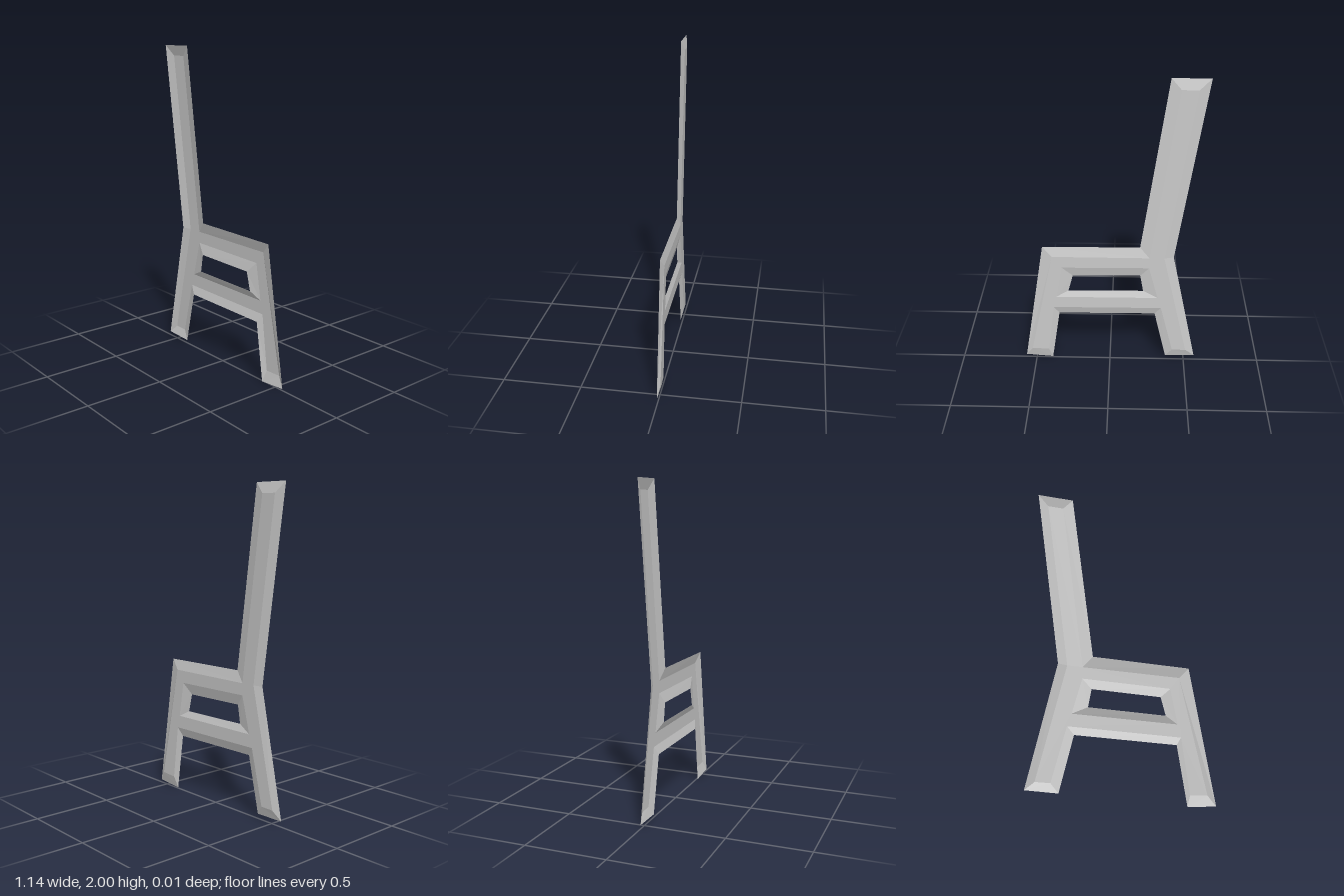
import * as THREE from 'three';

const FRONT = 0.0075, BACK = -0.0075;

// Each loop pairs the rim corner (x, y) with the matching corner of the raised panel (x, y).
const OUTLINE = [
  [-0.575, 2.0, -0.505, 1.935], // backrest top
  [-0.405, 0.815, -0.345, 0.815], // bend of the rear leg
  [-0.57, 0.03, -0.51, 0.085], // rear foot
  [-0.375, 0.025, -0.42, 0.085],
  [-0.295, 0.375, -0.335, 0.43], // under the stretcher
  [0.335, 0.37, 0.37, 0.425],
  [0.39, 0.0, 0.415, 0.075], // front foot
  [0.57, 0.015, 0.525, 0.08],
  [0.43, 0.88, 0.37, 0.815], // seat front edge
  [-0.19, 0.885, -0.25, 0.815], // seat meets backrest
  [-0.345, 2.0, -0.405, 1.935],
];
const OPENING = [
  [-0.195, 0.672, -0.25, 0.74],
  [0.24, 0.667, 0.31, 0.735],
  [0.27, 0.55, 0.35, 0.507],
  [-0.215, 0.555, -0.31, 0.51],
];

// Sloping band from the front rim to the back panel
function bevel(loop) {
  const pos = [];
  loop.forEach((p, i) => {
    const q = loop[(i + 1) % loop.length];
    const a = [p[0], p[1], FRONT], b = [q[0], q[1], FRONT];
    const c = [q[2], q[3], BACK], d = [p[2], p[3], BACK];
    pos.push(...a, ...b, ...c, ...a, ...c, ...d);
  });
  const g = new THREE.BufferGeometry();
  g.setAttribute('position', new THREE.Float32BufferAttribute(pos, 3));
  g.computeVertexNormals();
  return g;
}

export function createModel() {
  const group = new THREE.Group();
  group.name = 'chairSilhouette';
  const material = new THREE.MeshStandardMaterial({
    color: 0xcccccc, flatShading: true, side: THREE.DoubleSide,
  });
  const add = (name, geometry) => {
    const mesh = new THREE.Mesh(geometry, material);
    mesh.name = name;
    group.add(mesh);
    return mesh;
  };

  // Flat panel at the back, with the opening between seat and stretcher
  const inner = (loop) => loop.map((p) => new THREE.Vector2(p[2], p[3]));
  const shape = new THREE.Shape(inner(OUTLINE));
  shape.holes.push(new THREE.Path(inner(OPENING)));
  add('backPanel', new THREE.ShapeGeometry(shape)).position.z = BACK;

  // Bevelled borders; the front is left open and hollow
  add('outerBevel', bevel(OUTLINE));
  add('openingBevel', bevel(OPENING));
  return group;
}
